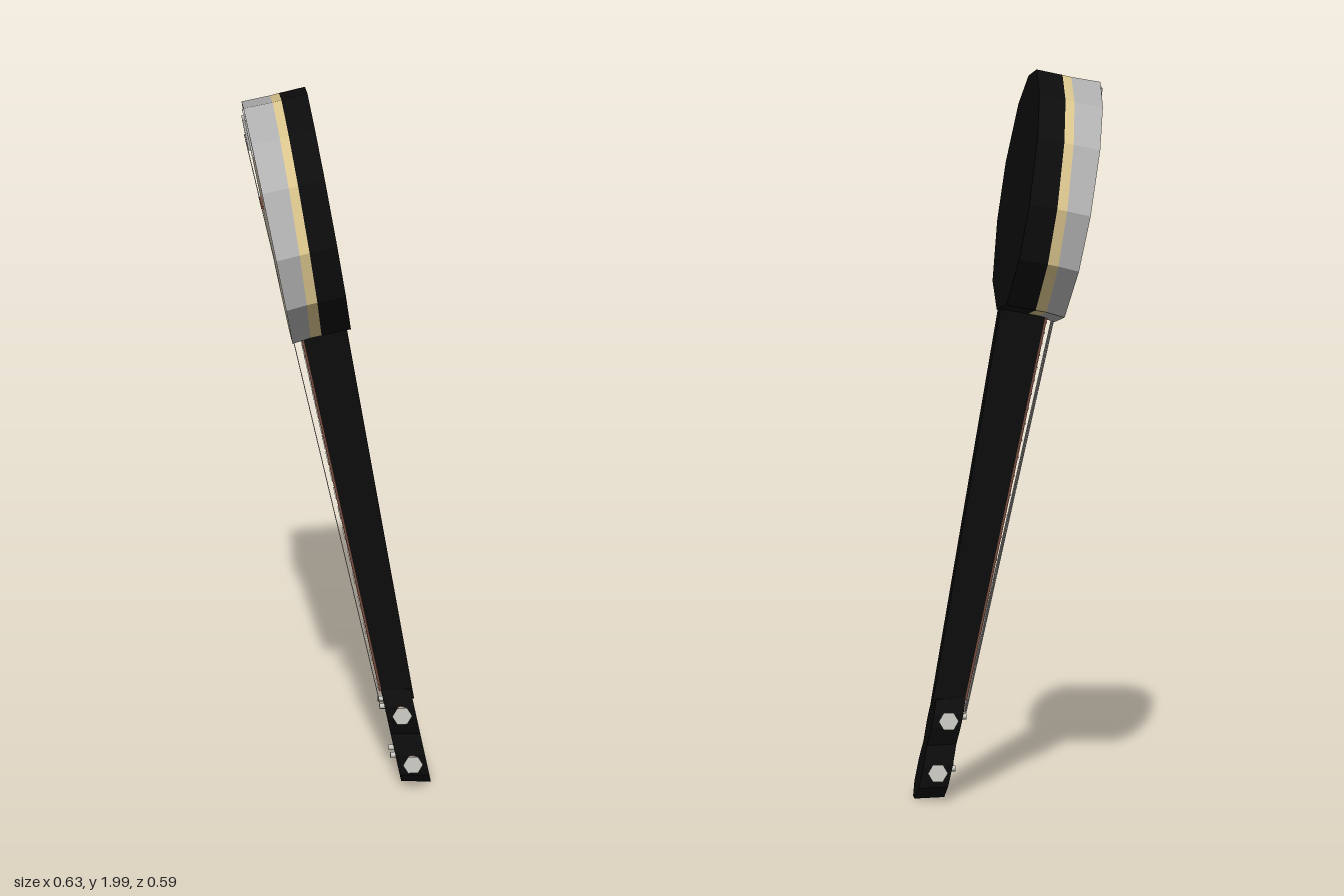
import * as THREE from 'three';

const mat = (name, color) => {
  const m = new THREE.MeshStandardMaterial({ color });
  m.name = name;
  return m;
};

// Closed, flat-shaded solid through rings of [x, y, z], clockwise seen from the first ring.
function loft(rings, capStart = true, capEnd = true) {
  const pos = [];
  const tri = (...pts) => pts.forEach(p => pos.push(...p));
  const middle = ring => [0, 1, 2].map(k => ring.reduce((s, p) => s + p[k], 0) / ring.length);
  const n = rings[0].length;
  for (let i = 0; i < n; i++) {
    const j = (i + 1) % n;
    for (let r = 0; r + 1 < rings.length; r++) {
      const a = rings[r], b = rings[r + 1];
      tri(a[i], a[j], b[j]);
      tri(a[i], b[j], b[i]);
    }
    const first = rings[0], last = rings[rings.length - 1];
    if (capStart) tri(middle(first), first[j], first[i]);
    if (capEnd) tri(middle(last), last[i], last[j]);
  }
  const g = new THREE.BufferGeometry();
  g.setAttribute('position', new THREE.Float32BufferAttribute(pos, 3));
  g.computeVertexNormals();
  return g;
}

// Right half outline, top to bottom, mirrored to a closed loop.
const mirrored = half => [
  ...half,
  ...half.slice().reverse().filter(p => p[0] !== 0).map(([x, y]) => [-x, y]),
];

export function createModel() {
  const root = new THREE.Group();
  root.name = 'banjo';
  const body = new THREE.Group();
  body.name = 'instrument';
  body.rotation.y = -0.702;
  root.add(body);

  const black = mat('blackWood', 0x0c0c0c);
  const skin = mat('drumSkin', 0xd6cab6);
  const silver = mat('silverRim', 0xb0b0b0);
  const tan = mat('tanBinding', 0xd9c48c);
  const brown = mat('brownWood', 0x73493a);
  const pale = mat('paleMetal', 0xcfcec8);

  const add = (name, geometry, material, parent = body) => {
    const m = new THREE.Mesh(geometry, material);
    m.name = name;
    parent.add(m);
    return m;
  };

  // Drum: twelve-sided bands stacked from the skin to the back
  const outline = mirrored([[0, 2.0], [0.156, 1.957], [0.275, 1.86], [0.342, 1.69],
    [0.317, 1.535], [0.197, 1.39], [0, 1.345]]);
  const drumRing = (drop, z, slope) =>
    outline.map(([x, y]) => [x, y - drop, z + slope * (y - 1.69)]);
  const front = drumRing(0.037, 0.0925, 0.19);
  const bindingFront = drumRing(0.022, 0.029, 0.14);
  const bindingBack = drumRing(0.016, 0.002, 0.15);
  const back = drumRing(0, -0.073, 0.165);
  add('drumHead', loft([front, front], true, false), skin);
  add('drumRim', loft([front, bindingFront], false, false), silver);
  add('drumBinding', loft([bindingFront, bindingBack], false, false), tan);
  add('resonator', loft([bindingBack, back], false, true), black);

  // Lines followed by the neck: sideways centre, front height and half width
  const centre = y => 0.009 + 0.018 * (1.32 - y);
  const face = y => -0.004 - 0.205 * (1.32 - y);
  const halfWidth = y => 0.039 + 0.011 * (y - 0.28) / 1.04;

  // Neck
  const neckRing = (y, depth) => {
    const c = centre(y), w = halfWidth(y), z = face(y);
    return [[w, 0], [-w, 0], [-w, 0.7], [-w * 0.6, 1], [w * 0.6, 1], [w, 0.7]]
      .map(([x, d]) => [c + x, y, z - d * depth]);
  };
  add('neck', loft([neckRing(1.36, 0.124), neckRing(0.25, 0.083)]), black);

  // Fretboard and frets
  const boardRing = y => {
    const c = centre(y), w = halfWidth(y), z = face(y);
    return [[c + w, y, z + 0.006], [c - w, y, z + 0.006], [c - w, y, z], [c + w, y, z]];
  };
  add('fretboard', loft([boardRing(1.34), boardRing(0.28)]), brown);
  const tilt = Math.atan(0.2);
  for (let i = 0; i <= 20; i++) {
    const y = 0.285 + 1.5 * (1 - Math.pow(2, -i / 12));
    const fret = add('fret', new THREE.BoxGeometry(halfWidth(y) * 1.96, 0.003, 0.003), pale);
    fret.position.set(centre(y), y, face(y) + 0.007);
    fret.rotation.x = tilt;
  }

  // Headstock with a waist and a pointed end
  const headOutline = mirrored([[0.04, 0.29], [0.064, 0.25], [0.064, 0.215], [0.046, 0.165],
    [0.066, 0.11], [0.06, 0.05], [0.022, 0.016]]);
  const headRing = depth => headOutline.map(([x, y]) =>
    [centre(y) + x, y - 0.1 * depth + (depth ? 0 : -0.005), face(y) - depth]);
  add('headstock', loft([headRing(0), headRing(0.08)]), black);

  // Tuning pegs: brown shafts, flared pale buttons and posts on the front
  for (const y of [0.232, 0.09]) {
    for (const side of [-1, 1]) {
      const peg = new THREE.Group();
      peg.name = 'tuningPeg';
      peg.position.set(centre(y), y, face(y) - 0.04);
      body.add(peg);
      const shaft = add('pegShaft', new THREE.CylinderGeometry(0.016, 0.013, 0.035, 6), brown, peg);
      const button = add('pegButton', new THREE.CylinderGeometry(0.027, 0.017, 0.03, 6), pale, peg);
      shaft.position.x = side * 0.063;
      button.position.x = side * 0.09;
      for (const part of [shaft, button]) part.rotation.z = -side * Math.PI / 2;
      const post = add('stringPost', new THREE.CylinderGeometry(0.008, 0.008, 0.018, 6), pale, peg);
      post.position.set(side * 0.027, 0, 0.046);
      post.rotation.x = Math.PI / 2;
    }
  }

  // Tailpiece and bridge lying on the skin
  const skinZ = y => 0.0925 + 0.19 * (y - 1.653);
  const onSkin = (name, x, y, w, h, d, lift, material) => {
    const m = add(name, new THREE.BoxGeometry(w, h, d), material);
    m.position.set(x, y, skinZ(y) + lift);
    m.rotation.x = Math.atan(0.19);
  };
  onSkin('tailpiecePlate', 0.0, 1.89, 0.11, 0.1, 0.004, 0.002, pale);
  onSkin('tailpieceBar', 0.02, 1.9, 0.035, 0.09, 0.008, 0.006, silver);
  onSkin('bridge', 0.01, 1.69, 0.07, 0.008, 0.008, 0.004, brown);

  // Strings
  for (let i = 0; i < 4; i++) {
    const k = i - 1.5;
    const path = new THREE.LineCurve3(
      new THREE.Vector3(0.005 + k * 0.018, 1.88, skinZ(1.88) + 0.012),
      new THREE.Vector3(centre(0.24) + k * 0.017, 0.24, face(0.24) + 0.012));
    add('string', new THREE.TubeGeometry(path, 1, 0.0011, 4), pale);
  }
  return root;
}
